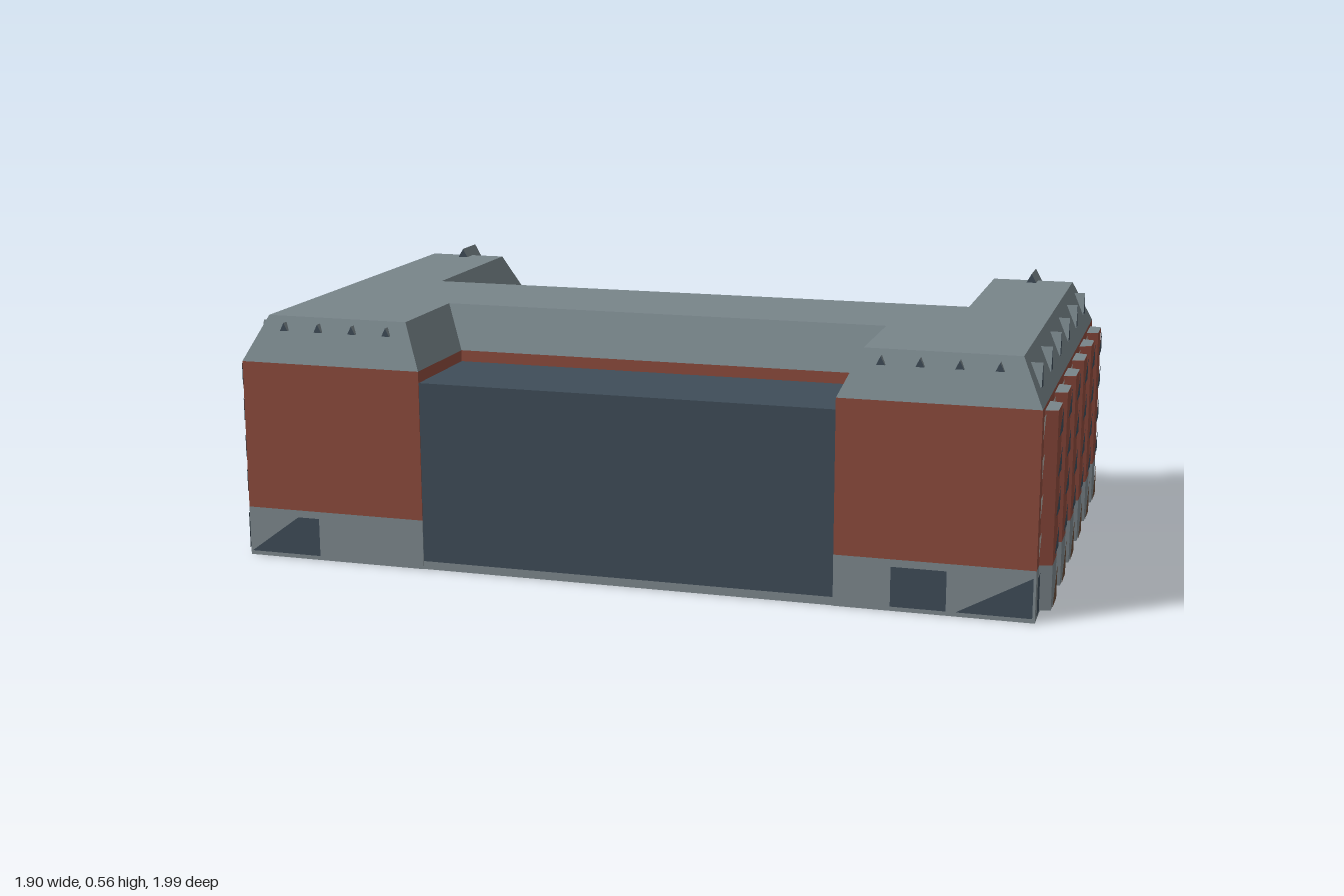
import * as THREE from 'three';

const mat = (name, color, side = THREE.FrontSide) => {
  const m = new THREE.MeshStandardMaterial({ color, side, flatShading: true });
  m.name = name;
  return m;
};
const brick = mat('red brick', 0x8e4b3d, THREE.DoubleSide);
const stone = mat('grey stone', 0x7f8a8f, THREE.DoubleSide);
const roofGrey = mat('roof grey', 0x78858a, THREE.DoubleSide);
const slate = mat('slate glass', 0x3f4d59, THREE.DoubleSide);
const white = mat('pale window', 0xb5b0aa);
const beige = mat('beige terrace', 0x958c80, THREE.DoubleSide);
const brown = mat('brown door', 0x6b4f3c);

// H-shaped plan as [x, z], running anticlockwise seen from outside
const PLAN = [
  [-0.87, 0.51], [-0.455, 0.51], [-0.455, 0.265], [0.455, 0.265], [0.455, 0.51], [0.87, 0.51],
  [0.87, -0.51], [0.59, -0.51], [0.59, -0.105], [-0.59, -0.105], [-0.59, -0.51], [-0.87, -0.51],
];
const BASE = 0.11, EAVES = 0.44, TOP = 0.537;
const BAYS = [-0.425, -0.255, -0.085, 0.085, 0.255, 0.425];
const ROWS = [0.13, 0.21, 0.293, 0.375]; // window sill heights

function add(parent, name, geometry, material) {
  const m = new THREE.Mesh(geometry, material);
  m.name = name;
  parent.add(m);
  return m;
}

// Band of quads joining two plan outlines at two heights
function band(lower, y0, upper, y1) {
  const pos = [];
  lower.forEach((a, i) => {
    const j = (i + 1) % lower.length;
    const b = lower[j], c = upper[j], d = upper[i];
    pos.push(a[0], y0, a[1], b[0], y0, b[1], c[0], y1, c[1]);
    pos.push(a[0], y0, a[1], c[0], y1, c[1], d[0], y1, d[1]);
  });
  const g = new THREE.BufferGeometry();
  g.setAttribute('position', new THREE.Float32BufferAttribute(pos, 3));
  g.computeVertexNormals();
  return g;
}

// Move every edge of a right-angled outline inwards
function inset(pts, d) {
  const n = pts.length;
  const normal = (a, b) => [-Math.sign(b[1] - a[1]), Math.sign(b[0] - a[0])];
  return pts.map((p, i) => {
    const n1 = normal(pts[(i + n - 1) % n], p), n2 = normal(p, pts[(i + 1) % n]);
    return [p[0] - d * (n1[0] + n2[0]), p[1] - d * (n1[1] + n2[1])];
  });
}

function flat(pts, y) {
  const s = new THREE.Shape(pts.map(([x, z]) => new THREE.Vector2(x, -z)));
  return new THREE.ShapeGeometry(s).rotateX(-Math.PI / 2).translate(0, y, 0);
}

const polygon = (pts) => new THREE.ShapeGeometry(new THREE.Shape(pts.map((p) => new THREE.Vector2(...p))));

// Thin painted polygon on a facade: x to the right, y up, z outwards
function panel(facade, name, pts, material, z = 0.003) {
  add(facade, name, polygon(pts), material).position.z = z;
}
const rect = (x0, x1, y0, y1) => [[x0, y0], [x1, y0], [x1, y1], [x0, y1]];
const upperLeft = (x0, x1, y0, y1) => [[x0, y0], [x1, y1], [x0, y1]];
const lowerRight = (x0, x1, y0, y1) => [[x0, y0], [x1, y0], [x1, y1]];

// Gabled dormer with a dark front, ridge running back into the roof
function dormer(facade, name, x, y, w, h, depth, front) {
  const s = new THREE.Shape([[-w / 2, 0], [w / 2, 0], [0, h]].map((p) => new THREE.Vector2(...p)));
  const g = new THREE.ExtrudeGeometry(s, { depth, bevelEnabled: false });
  add(facade, name, g, [slate, roofGrey]).position.set(x, y, front - depth);
}

function makeFacade(parent, name, x, z, angle) {
  const f = new THREE.Group();
  f.name = name;
  f.position.set(x, 0, z);
  f.rotation.y = angle;
  parent.add(f);
  return f;
}

// Canted bay, one column of windows, wide at the wall and narrower in front
function bay(facade, x) {
  const foot = [[x - 0.045, 0], [x + 0.045, 0], [x + 0.036, 0.026], [x - 0.036, 0.026]].reverse();
  add(facade, 'bayBase', band(foot, 0.015, foot, BASE), stone);
  add(facade, 'bayWall', band(foot, BASE, foot, 0.43), brick);
  add(facade, 'bayCap', flat(foot.slice().reverse(), 0.431), roofGrey);
  add(facade, 'bayFoot', flat(foot.slice().reverse(), 0.015), stone);
  panel(facade, 'bayDoor', lowerRight(x - 0.034, x + 0.034, 0.02, 0.095), brown, 0.029);
  for (const y of ROWS) panel(facade, 'bayWindow', lowerRight(x - 0.034, x + 0.034, y, y + 0.05), slate, 0.029);
}

// Long side of a wing: six bays with windows between them
function sideFacade(parent, name, x, angle) {
  const f = makeFacade(parent, name, x, 0, angle);
  BAYS.forEach((b) => {
    bay(f, b);
    dormer(f, 'sideDormer', b, 0.468, 0.03, 0.05, 0.045, -0.012);
  });
  for (let i = 0; i <= 6; i++) {
    const x0 = i === 0 ? -0.508 : BAYS[i - 1] + 0.046;
    const x1 = i === 6 ? 0.508 : BAYS[i] - 0.046;
    panel(f, 'groundWindow', rect(x0, x1, 0.015, 0.095), slate);
    for (const y of ROWS) panel(f, 'wallWindow', upperLeft(x0, x1, y, y + 0.05), white);
  }
}

export function createModel() {
  const model = new THREE.Group();
  model.name = 'building';
  const house = new THREE.Group();
  house.name = 'hShapedBlock';
  house.rotation.y = -0.871;
  model.add(house);

  // Walls and mansard roof
  add(house, 'stoneBase', band(PLAN, 0, PLAN, BASE), stone);
  add(house, 'brickWalls', band(PLAN, BASE, PLAN, EAVES), brick);
  const ridge = inset(PLAN, 0.046);
  add(house, 'roofSlopes', band(PLAN, EAVES, ridge, TOP), roofGrey);
  add(house, 'roofTop', flat(ridge, TOP), roofGrey);

  // Long window sides
  sideFacade(house, 'rightSide', 0.87, Math.PI / 2);
  sideFacade(house, 'leftSide', -0.87, -Math.PI / 2);

  // Front wing ends with doors, and the glass hall between them
  const front = makeFacade(house, 'frontSide', 0, 0.51, 0);
  panel(front, 'frontDoor', rect(0.575, 0.69, 0.01, 0.095), slate);
  panel(front, 'frontDoorWedge', lowerRight(0.71, 0.865, 0.01, 0.095), slate);
  panel(front, 'frontDoorWedge', lowerRight(-0.865, -0.75, 0.01, 0.095), slate);
  panel(front, 'frontDoor', rect(-0.75, -0.7, 0.01, 0.095), slate);
  for (const x of [-0.78, -0.7, -0.62, -0.54, 0.54, 0.62, 0.7, 0.78])
    dormer(front, 'roofVent', x, 0.507, 0.018, 0.018, 0.025, -0.025);
  panel(front, 'glassFront', rect(-0.455, 0.455, 0.018, 0.415), slate, -0.002);
  panel(front, 'glassSill', rect(-0.455, 0.455, 0, 0.018), stone, -0.002);
  add(house, 'glassRoof', flat([[-0.455, 0.508], [0.455, 0.508], [0.455, 0.265], [-0.455, 0.265]], 0.415), slate);

  // Back wing ends with doors and large gables
  const back = makeFacade(house, 'backSide', 0, -0.51, Math.PI);
  panel(back, 'backDoor', rect(-0.755, -0.677, 0.01, 0.09), slate);
  panel(back, 'backDoor', rect(0.709, 0.787, 0.01, 0.09), slate);
  for (const x of [-0.73, 0.73]) dormer(back, 'endGable', x, EAVES, 0.13, 0.118, 0.085, 0.003);

  // One-storey court with a terrace on top
  panel(back, 'courtFront', rect(-0.59, 0.59, 0, 0.115), stone, -0.002);
  panel(back, 'courtEntrance', [[-0.59, 0.01], [-0.065, 0.01], [-0.24, 0.092]], slate);
  panel(back, 'courtEntrance', [[-0.142, 0.092], [0.02, 0.01], [0.02, 0.092]], slate);
  add(house, 'terrace', flat([[-0.59, -0.105], [0.59, -0.105], [0.59, -0.508], [-0.59, -0.508]], 0.116), beige);
  const courtBack = makeFacade(house, 'courtBack', 0, -0.105, Math.PI);
  panel(courtBack, 'courtWindow', [[0.395, 0.18], [0.59, 0.125], [0.59, 0.18]], white);
  for (const x of [-0.49, -0.28, -0.165, 0.083, 0.283, 0.404])
    dormer(courtBack, 'courtDormer', x, 0.485, 0.024, 0.032, 0.035, -0.012);

  // Court side walls with long windows
  const courtLeft = makeFacade(house, 'courtLeftWall', -0.59, -0.3075, Math.PI / 2);
  const courtRight = makeFacade(house, 'courtRightWall', 0.59, -0.3075, -Math.PI / 2);
  for (const y of ROWS) {
    panel(courtLeft, 'longWindow', upperLeft(-0.2, 0.2, y, y + 0.05), white);
    panel(courtLeft, 'longWindowShade', lowerRight(-0.2, 0.2, y - 0.006, y + 0.044), slate);
    panel(courtRight, 'longWindow', upperLeft(-0.2, 0.2, y, y + 0.05), white);
  }
  return model;
}
